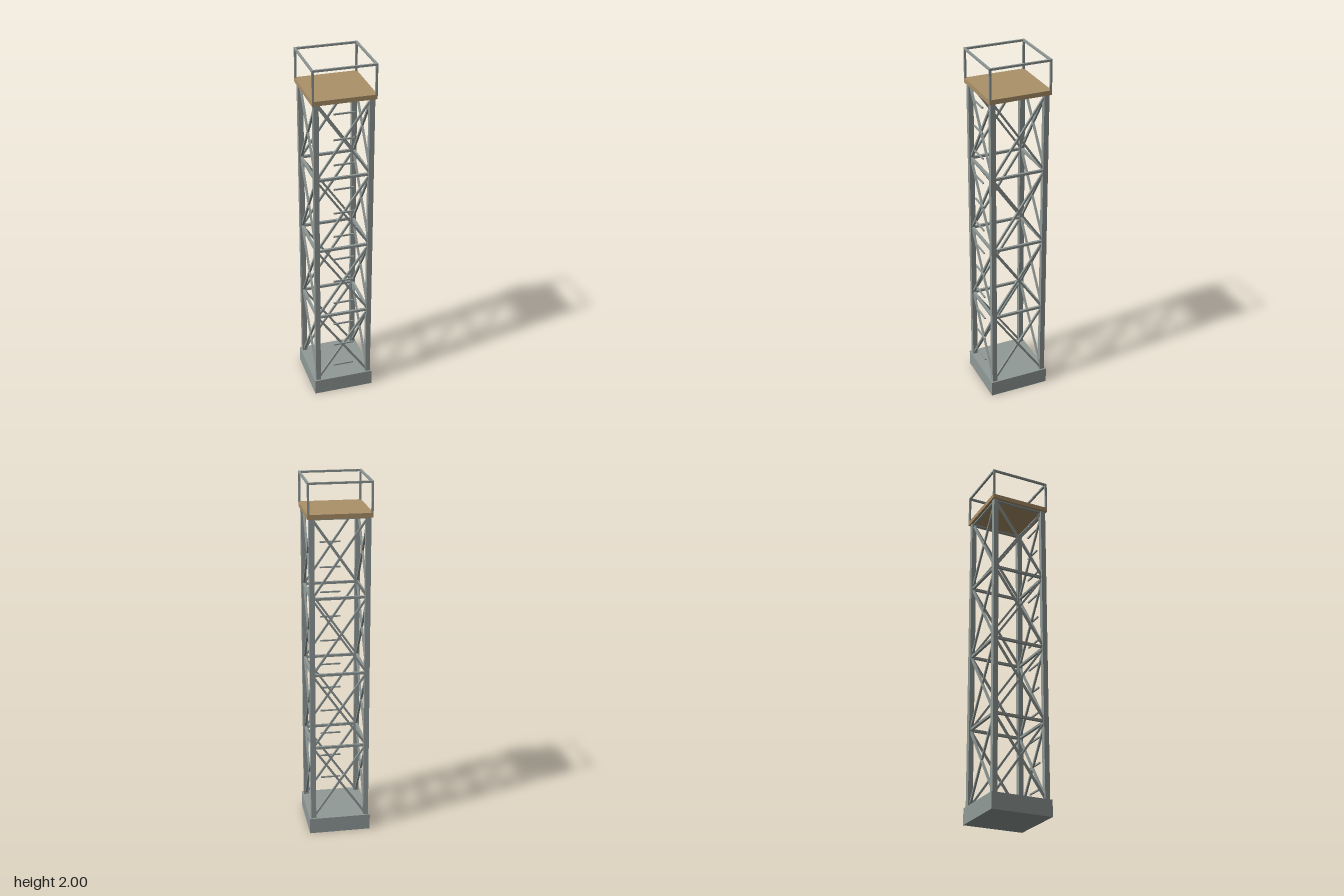
import * as THREE from 'three';

const steel = new THREE.MeshStandardMaterial({ color: 0x919a98 });
steel.name = 'galvanised steel';
const timber = new THREE.MeshStandardMaterial({ color: 0xab9169 });
timber.name = 'deck timber';

function addBox(parent, name, material, [w, h, d], [x, y, z]) {
  const mesh = new THREE.Mesh(new THREE.BoxGeometry(w, h, d), material);
  mesh.name = name;
  mesh.position.set(x, y, z);
  parent.add(mesh);
  return mesh;
}

export function createModel() {
  const tower = new THREE.Group();
  tower.name = 'latticeTower';

  const half = 0.172;     // half width of base and deck
  const leg = 0.149;      // leg centre line
  const legW = 0.028;
  const baseTop = 0.09;
  const deckBottom = 1.81;
  const deckTop = 1.835;
  const bays = 4;
  const bayH = (deckBottom - baseTop) / bays;
  const rail = 0.011;
  const railPos = half - rail / 2;

  // Foundation and deck
  addBox(tower, 'base', steel, [half * 2, baseTop, half * 2], [0, baseTop / 2, 0]);
  addBox(tower, 'deck', timber, [half * 2, deckTop - deckBottom, half * 2],
    [0, (deckTop + deckBottom) / 2, 0]);

  // Corner legs and railing posts
  for (const sx of [-1, 1]) for (const sz of [-1, 1]) {
    addBox(tower, 'leg', steel, [legW, deckBottom - baseTop, legW],
      [sx * leg, (deckBottom + baseTop) / 2, sz * leg]);
    addBox(tower, 'railPost', steel, [rail, 2 - deckTop, rail],
      [sx * railPos, (2 + deckTop) / 2, sz * railPos]);
  }

  // Four identical sides: struts, crossed braces and a top rail
  for (let s = 0; s < 4; s++) {
    const side = new THREE.Group();
    side.name = 'side';
    side.rotation.y = s * Math.PI / 2;
    tower.add(side);
    for (let i = 0; i < bays; i++) {
      const bottom = baseTop + i * bayH;
      addBox(side, 'strut', steel, [leg * 2, 0.014, 0.014], [0, bottom + bayH, leg]);
      for (const dir of [-1, 1]) {
        const brace = addBox(side, 'brace', steel,
          [Math.hypot(leg * 2, bayH), 0.011, 0.011], [0, bottom + bayH / 2, leg]);
        brace.rotation.z = dir * Math.atan2(bayH, leg * 2);
      }
    }
    addBox(side, 'topRail', steel, [half * 2 - rail, rail, rail], [0, 2 - rail / 2, railPos]);
  }

  // Ladder rungs on the front
  for (let i = 0; i < 12; i++) {
    addBox(tower, 'rung', steel, [0.116, 0.008, 0.008], [0, 0.178 + i * 0.143, 0.163]);
  }
  return tower;
}
